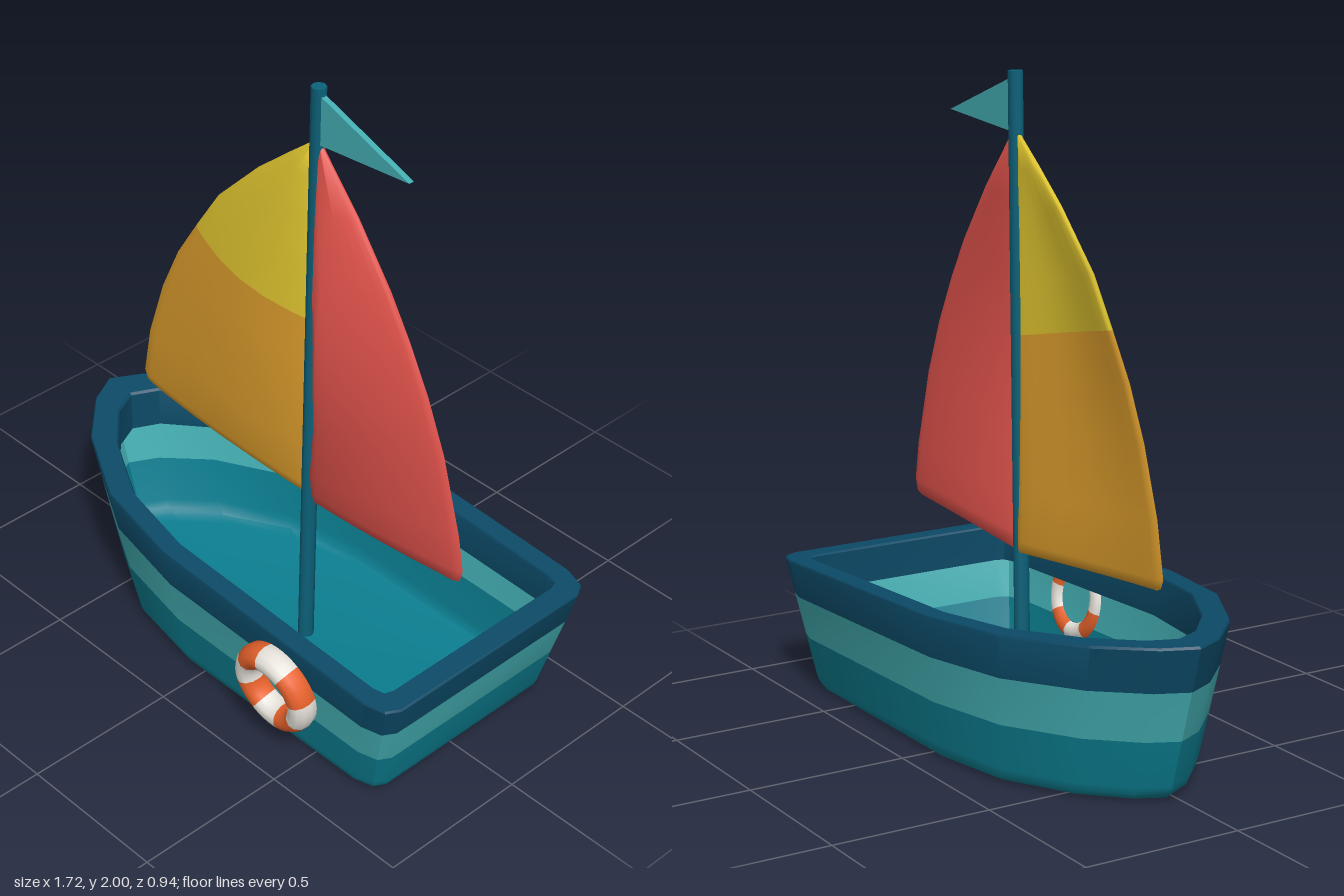
import * as THREE from 'three';
import { toCreasedNormals } from 'three/addons/utils/BufferGeometryUtils.js';

const paint = (name, color, side = THREE.FrontSide) => {
  const m = new THREE.MeshStandardMaterial({ color, side });
  m.name = name;
  return m;
};

// Skin a stack of closed loops (arrays of Vector3), skipping collapsed triangles
function skin(loops, crease) {
  const pos = [];
  const tri = (...t) => {
    if (new THREE.Triangle(...t).getArea() > 1e-7) t.forEach((p) => pos.push(p.x, p.y, p.z));
  };
  for (let i = 0; i < loops.length - 1; i++) {
    const lo = loops[i], hi = loops[i + 1], n = lo.length;
    for (let j = 0; j < n; j++) {
      const k = (j + 1) % n;
      tri(lo[j], lo[k], hi[k]);
      tri(lo[j], hi[k], hi[j]);
    }
  }
  const g = new THREE.BufferGeometry();
  g.setAttribute('position', new THREE.Float32BufferAttribute(pos, 3));
  return toCreasedNormals(g, crease);
}

// Half outlines of the hull, bow to stern: [x, half width]
const OUTER = [[-0.864, 0], [-0.812, 0.1], [-0.67, 0.24], [-0.415, 0.38], [-0.097, 0.437], [0.77, 0.437], [0.838, 0.417], [0.862, 0.375]];
const INNER = [[-0.75, 0], [-0.71, 0.085], [-0.58, 0.2], [-0.36, 0.32], [-0.09, 0.37], [0.74, 0.37], [0.775, 0.36], [0.785, 0.33]];
const HULL_Z = -0.035;
const HULL_X = 0.13;

// Full loop of an outline, scaled in plan; t is the share of the sheer height
function hullLoop(outline, scale, t) {
  const mirrored = outline.slice(1).reverse().map(([x, w]) => [x, -w]);
  return [...outline, ...mirrored].map(([x, w]) => {
    const px = HULL_X + (x - HULL_X) * scale;
    return new THREE.Vector3(px, t * (0.457 - 0.0495 * px), HULL_Z + w * scale);
  });
}
const flare = (t) => 0.868 + (0.132 * (t - 0.1)) / 0.89;
const side = (t) => hullLoop(OUTER, flare(t), t);
const lip = (t, s = 1) => hullLoop(INNER, s, t);

// Sail rows run bottom to top: [left x, left y, right x, right y, thickness share]
const ACROSS = [0, 0.015, 0.05, 0.14, 0.32, 0.5, 0.68, 0.86, 0.95, 0.985, 1];
function sailGeometry(rows, bulge) {
  const loops = rows.map(([xl, yl, xr, yr, thick]) => {
    const point = (u, sign) => {
      const y = yl + (yr - yl) * u;
      const v = THREE.MathUtils.clamp((y - 0.55) / 1.27, 0, 1);
      const h = 0.018 * thick * Math.pow(Math.max(0, Math.sin(Math.PI * u)), 0.35);
      return new THREE.Vector3(xl + (xr - xl) * u, y, -0.028 + bulge(u, v) + sign * h);
    };
    return [...ACROSS.map((u) => point(u, 1)), ...ACROSS.slice(1, -1).reverse().map((u) => point(u, -1))];
  });
  return skin(loops, 1.2);
}

export function createModel() {
  const boat = new THREE.Group();
  boat.name = 'sailboat';
  const navy = paint('navy', 0x0c4a67);
  const teal = paint('teal', 0x0b7d8f, THREE.DoubleSide);
  const aqua = paint('aqua', 0x43adb1, THREE.DoubleSide);
  const mastBlue = paint('mast blue', 0x0c6179);
  const yellow = paint('yellow', 0xe2c730);
  const amber = paint('amber', 0xdf9f2d);
  const red = paint('red', 0xe0524b);
  const orange = paint('orange', 0xe8622c);
  const white = paint('white', 0xf0ece4);
  const add = (name, geometry, material, parent = boat) => {
    const mesh = new THREE.Mesh(geometry, material);
    mesh.name = name;
    parent.add(mesh);
    return mesh;
  };

  // Hull: a thin open shell with rounded bottom and stripe, topped by a thick rim
  const hull = new THREE.Group();
  hull.name = 'hull';
  boat.add(hull);
  const bottom = [[0, 0], [0.79, 0], [0.835, 0.015], [0.858, 0.05]].map(([s, t]) => hullLoop(OUTER, s, t));
  add('lowerHull', skin([...bottom, side(0.1), side(0.4)], 0.6), teal, hull);
  add('hullStripe', skin([side(0.4), side(0.715)], 0.6), aqua, hull);
  add('rim', skin([side(0.715), side(0.985), hullLoop(OUTER, 0.994, 1), lip(1, 1.008), lip(0.985), lip(0.715), side(0.715)], 0.6), navy, hull);

  // Mast, leaning slightly
  const foot = new THREE.Vector3(0.084, 0.005, -0.027), tip = new THREE.Vector3(0.122, 1.999, -0.027);
  const along = tip.clone().sub(foot);
  const mast = add('mast', toCreasedNormals(new THREE.CylinderGeometry(0.023, 0.025, along.length(), 8), 0.9), mastBlue);
  mast.position.copy(foot).add(tip).multiplyScalar(0.5);
  mast.quaternion.setFromUnitVectors(new THREE.Vector3(0, 1, 0), along.normalize());

  // Main sail in two colours
  const mainBulge = (u, v) => 0.042 * Math.sin(Math.PI * u) * Math.sin(Math.PI * v) - 0.015 * u * u * (1 - v) ** 3;
  const seam = [-0.4, 1.31, 0.105, 1.21, 1];
  add('mainSailLower', sailGeometry([
    [-0.635, 0.603, 0.085, 0.545, 0], [-0.655, 0.612, 0.088, 0.552, 0.7], [-0.667, 0.64, 0.09, 0.58, 1],
    [-0.635, 0.807, 0.095, 0.73, 1], [-0.566, 1.01, 0.1, 0.92, 1], [-0.49, 1.17, 0.102, 1.07, 1], seam,
  ], mainBulge), amber);
  add('mainSailUpper', sailGeometry([
    seam, [-0.3, 1.458, 0.107, 1.36, 1], [-0.127, 1.63, 0.11, 1.55, 1],
    [0.0, 1.735, 0.113, 1.69, 0.9], [0.1, 1.815, 0.115, 1.815, 0.4], [0.11, 1.82, 0.11, 1.82, 0],
  ], mainBulge), yellow);

  // Fore sail, filled near its inner edge
  const foreBulge = (u, v) => 0.092 * Math.sin(Math.PI * v) * (1 - u);
  add('foreSail', sailGeometry([
    [0.11, 0.543, 0.7, 0.588, 0], [0.11, 0.552, 0.727, 0.6, 0.7], [0.11, 0.59, 0.738, 0.64, 1],
    [0.125, 0.675, 0.717, 0.76, 1], [0.18, 0.89, 0.646, 1.01, 1], [0.195, 1.05, 0.576, 1.18, 1],
    [0.2, 1.21, 0.497, 1.33, 1], [0.187, 1.37, 0.418, 1.46, 1], [0.158, 1.61, 0.285, 1.64, 0.9],
    [0.13, 1.8, 0.14, 1.81, 0.4], [0.13, 1.815, 0.13, 1.815, 0],
  ], foreBulge), red);

  // Pennant
  const flag = new THREE.Shape([[0.12, 1.982], [0.12, 1.818], [0.485, 1.85]].map(([x, y]) => new THREE.Vector2(x, y)));
  add('flag', new THREE.ExtrudeGeometry(flag, { depth: 0.018, bevelEnabled: false }), aqua).position.z = -0.036;

  // Life ring of eight alternating segments, sunk a little into the hull
  const ring = new THREE.Group();
  ring.name = 'lifeRing';
  ring.position.set(0.408, 0.25, 0.405);
  ring.rotation.x = 0.15;
  ring.scale.z = 1.25;
  boat.add(ring);
  for (let i = 0; i < 8; i++) {
    const seg = add('ringSegment', new THREE.TorusGeometry(0.113, 0.039, 12, 5, Math.PI / 4), i % 2 ? orange : white, ring);
    seg.rotation.z = ((i - 0.5) * Math.PI) / 4 - 0.2;
  }
  return boat;
}
